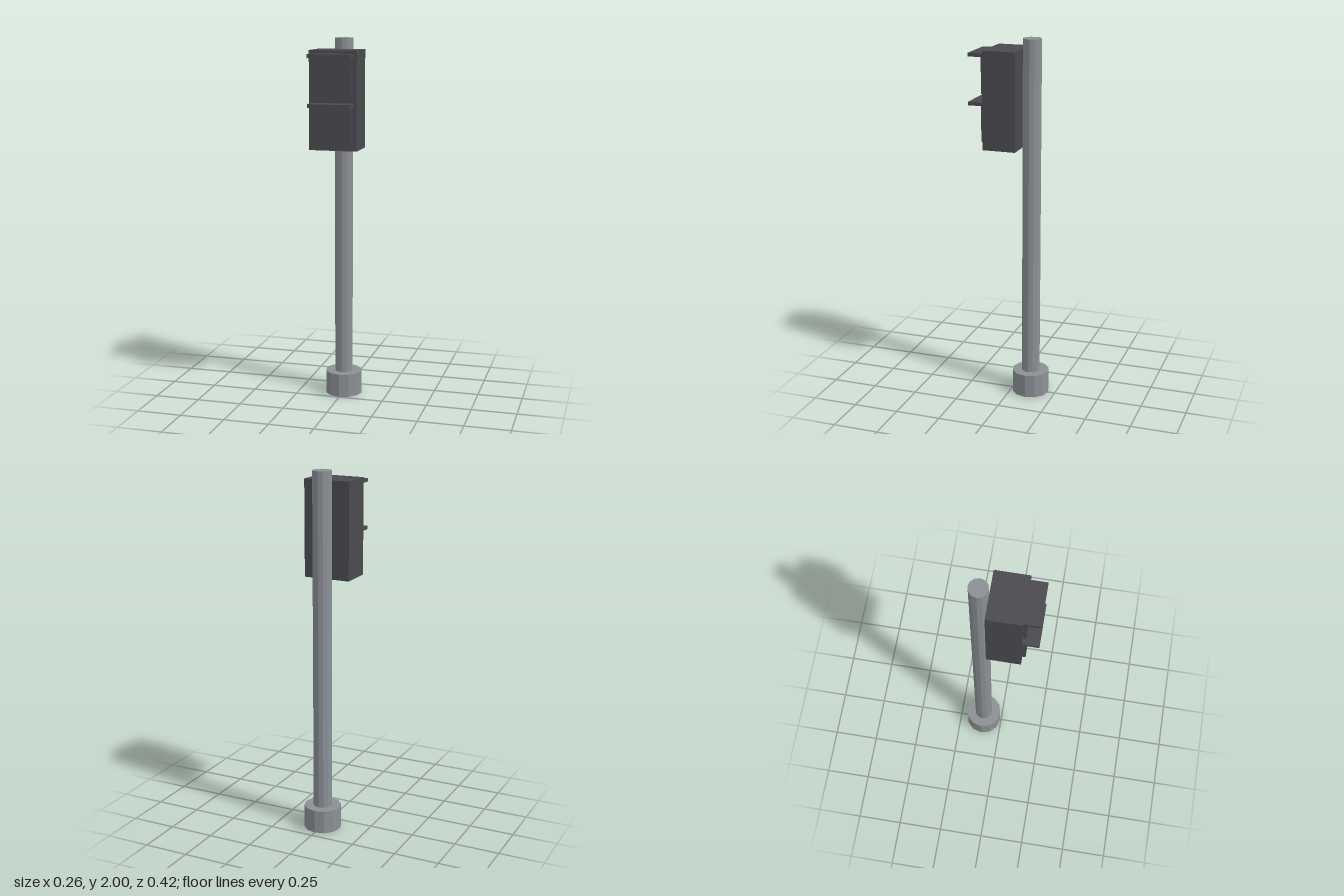
import * as THREE from 'three';

export function createModel() {
  const model = new THREE.Group();
  model.name = 'signalPost';

  const grey = new THREE.MeshStandardMaterial({ color: 0x8c9094, flatShading: true });
  grey.name = 'post grey';
  const dark = new THREE.MeshStandardMaterial({ color: 0x4b4a4f, flatShading: true });
  dark.name = 'housing charcoal';

  const add = (name, geometry, material, x, y, z) => {
    const mesh = new THREE.Mesh(geometry, material);
    mesh.name = name;
    mesh.position.set(x, y, z);
    model.add(mesh);
  };

  // Box given by its half width and its y and z limits
  const addBox = (name, halfWidth, y0, y1, z0, z1) =>
    add(name, new THREE.BoxGeometry(halfWidth * 2, y1 - y0, z1 - z0), dark,
      0, (y0 + y1) / 2, (z0 + z1) / 2);

  // Twelve-sided post and foot, set behind the housing
  const postZ = -0.108;
  add('foot', new THREE.CylinderGeometry(0.103, 0.103, 0.13, 12), grey, 0, 0.065, postZ);
  add('post', new THREE.CylinderGeometry(0.051, 0.051, 1.87, 12), grey, 0, 1.065, postZ);

  // Signal housing
  addBox('housing', 0.13, 1.415, 1.942, -0.057, 0.124);

  // Two lamp panels, each under a flat visor
  for (const [label, top] of [['upper', 1.906], ['lower', 1.648]]) {
    addBox(`${label}Panel`, 0.1, top - 0.195, top, 0.12, 0.142);
    addBox(`${label}Visor`, 0.115, top, top + 0.019, 0.12, 0.209);
  }

  return model;
}
